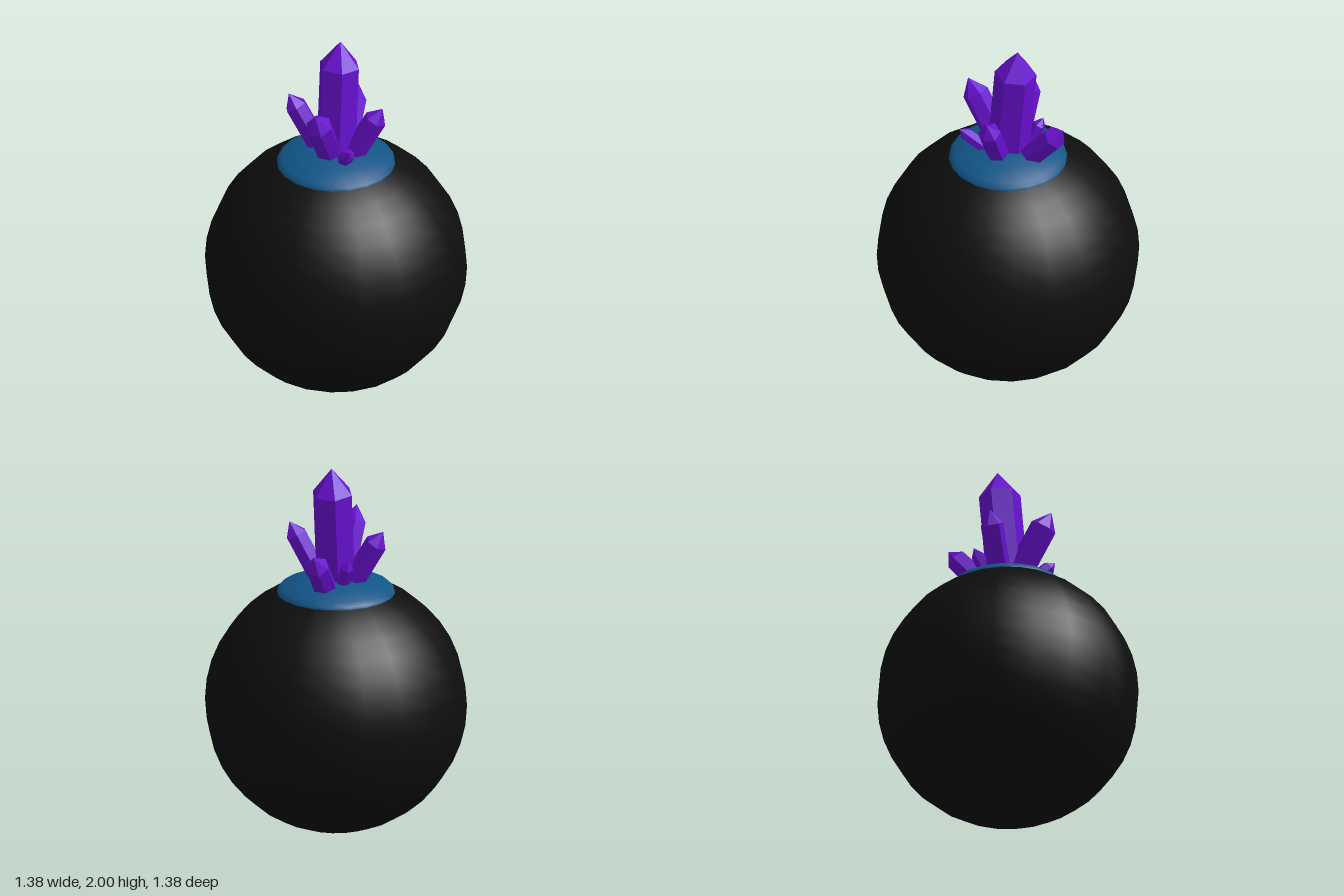
import * as THREE from 'three';

const shellMat = new THREE.MeshStandardMaterial({ color: 0x0e0e0e, side: THREE.DoubleSide });
shellMat.name = 'black shell';
const domeMat = new THREE.MeshStandardMaterial({ color: 0x115587, side: THREE.DoubleSide });
domeMat.name = 'deep blue';
const crystalMat = new THREE.MeshStandardMaterial({ color: 0x6810d0, flatShading: true });
crystalMat.name = 'violet crystal';

const UP = new THREE.Vector3(0, 1, 0);

// Hexagonal prism with a pointed end, running from base to tip
function crystal(name, base, tip, radius) {
  const from = new THREE.Vector3(...base);
  const axis = new THREE.Vector3(...tip).sub(from);
  const length = axis.length();
  const profile = [
    new THREE.Vector2(0, 0),
    new THREE.Vector2(radius, 0),
    new THREE.Vector2(radius, length - radius * 1.27),
    new THREE.Vector2(0, length),
  ];
  const geometry = new THREE.LatheGeometry(profile, 6).rotateY(Math.PI / 6);
  const mesh = new THREE.Mesh(geometry, crystalMat);
  mesh.name = name;
  mesh.position.copy(from);
  mesh.quaternion.setFromUnitVectors(UP, axis.normalize());
  return mesh;
}

export function createModel() {
  const model = new THREE.Group();
  model.name = 'crystalOrb';

  // Round body, open at the top
  const opening = Math.PI * 0.15;
  const shell = new THREE.Mesh(
    new THREE.SphereGeometry(0.688, 20, 17, 0, Math.PI * 2, opening, Math.PI - opening),
    shellMat
  );
  shell.name = 'shell';
  shell.position.y = 0.69;
  model.add(shell);

  // Shallow dome filling the opening
  const domeProfile = [[0.311, 1.3], [0.307, 1.315], [0.285, 1.336], [0.21, 1.368], [0.11, 1.391], [0, 1.397]];
  const dome = new THREE.Mesh(
    new THREE.LatheGeometry(domeProfile.map(([r, y]) => new THREE.Vector2(r, y)), 20),
    domeMat
  );
  dome.name = 'dome';
  model.add(dome);

  // Crystal cluster
  const cluster = new THREE.Group();
  cluster.name = 'crystalCluster';
  cluster.add(
    crystal('mainCrystal', [0, 1.33, 0], [0, 2, -0.06], 0.11),
    crystal('rightCrystal', [-0.085, 1.35, -0.005], [-0.262, 1.662, 0.015], 0.06),
    crystal('leftCrystal', [0.085, 1.35, 0], [0.252, 1.665, -0.03], 0.06),
    crystal('frontCrystal', [-0.01, 1.34, 0.035], [-0.01, 1.705, 0.255], 0.07),
    crystal('backCrystal', [0.005, 1.3, -0.09], [-0.015, 1.59, -0.335], 0.064),
    crystal('smallFrontCrystal', [0.06, 1.34, 0.06], [0.16, 1.497, 0.198], 0.037),
    crystal('smallBackCrystal', [-0.06, 1.35, -0.07], [-0.13, 1.525, -0.137], 0.035)
  );
  model.add(cluster);

  return model;
}
